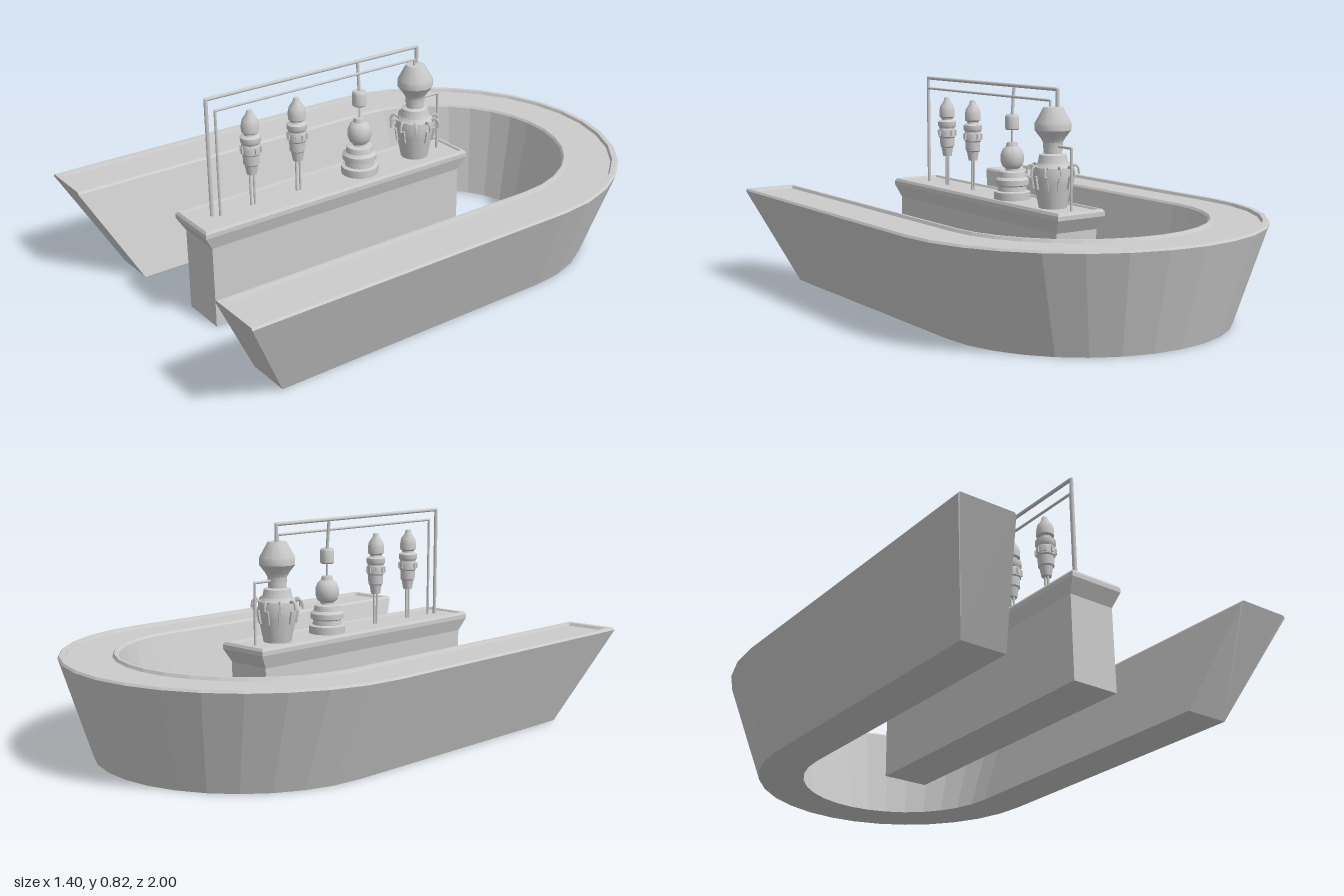
import * as THREE from 'three';
import { toCreasedNormals } from 'three/addons/utils/BufferGeometryUtils.js';

const flat = new THREE.MeshStandardMaterial({ color: 0xcccccc, flatShading: true });
const smooth = new THREE.MeshStandardMaterial({ color: 0xcccccc });
const V = (x, y, z) => new THREE.Vector3(x, y, z);

function mesh(name, geometry, material = smooth) {
  const m = new THREE.Mesh(geometry, material);
  m.name = name;
  return m;
}

// Joins rings of equal point count into a closed, capped solid
function loft(rings) {
  const n = rings[0].length, last = (rings.length - 1) * n, index = [];
  for (let i = 0; i < rings.length - 1; i++)
    for (let j = 0; j < n; j++) {
      const a = i * n + j, b = i * n + (j + 1) % n;
      index.push(a, a + n, b, b, a + n, b + n);
    }
  for (let j = 1; j < n - 1; j++) {
    index.push(0, j, j + 1);
    index.push(last, last + j + 1, last + j);
  }
  const g = new THREE.BufferGeometry().setFromPoints(rings.flat());
  g.setIndex(index);
  g.computeVertexNormals();
  return g;
}

const lathe = (name, pts, segments = 20) => mesh(name, toCreasedNormals(
  new THREE.LatheGeometry(pts.map(p => new THREE.Vector2(...p)), segments), 0.6));

// Pipe with sharp elbows
function pipe(name, r, points) {
  const path = new THREE.CurvePath();
  for (let i = 0; i < points.length - 1; i++) path.add(new THREE.LineCurve3(points[i], points[i + 1]));
  const g = new THREE.Group();
  g.name = name;
  path.curves.forEach(c => g.add(mesh('pipeRun', new THREE.TubeGeometry(c, 1, r, 8))));
  points.forEach(p => {
    const joint = mesh('pipeJoint', new THREE.SphereGeometry(r, 8, 6));
    joint.position.copy(p);
    g.add(joint);
  });
  return g;
}

// U-shaped counter: sloping walls, raised rim and sunken top
function counter() {
  const H = 0.36, RIM = 0.368, SUNK = 0.357;
  const section = [[0.555, 0], [0.7, H], [0.694, RIM], [0.676, RIM], [0.67, SUNK],
    [0.508, SUNK], [0.502, RIM], [0.492, RIM], [0.485, H], [0.385, 0]];
  const k = y => Math.min(1, y / H);
  const raise = y => (y === SUNK ? RIM : y);
  const leg = (side, inset, raised) => section.map(([r, y]) => {
    const h = raised ? raise(y) : y;
    return V(side * r, h, 0.81 + 0.19 * k(h) - inset);
  });
  const rings = [leg(1, 0, true), leg(1, 0.024, true), leg(1, 0.03, false)];
  const N = 16;
  for (let i = 0; i <= N; i++) {
    const a = Math.PI * i / N;
    rings.push(section.map(([r, y]) =>
      V(r * Math.cos(a), y, -0.335 + 0.035 * k(y) - r * Math.sin(a))));
  }
  rings.push(leg(-1, 0.03, false), leg(-1, 0.024, true), leg(-1, 0, true));
  return mesh('counter', loft(rings), flat);
}

// Central island with flared, rimmed top
function island() {
  const levels = [[0.09, 0.78, -0.325, 0], [0.09, 0.78, -0.325, 0.31], [0.105, 0.81, -0.355, 0.36],
    [0.105, 0.81, -0.355, 0.376], [0.099, 0.804, -0.349, 0.386], [0.09, 0.795, -0.34, 0.386],
    [0.086, 0.791, -0.336, 0.379]];
  return mesh('island', loft(levels.map(([x, f, b, y]) =>
    [V(-x, y, b), V(x, y, b), V(x, y, f), V(-x, y, f)])), flat);
}

// Large boiler with a ring of hooked spouts
function boiler() {
  const g = new THREE.Group();
  g.name = 'boiler';
  g.add(lathe('boilerBody', [[0, 0.378], [0.052, 0.378], [0.056, 0.4], [0.07, 0.47], [0.074, 0.5],
    [0.07, 0.53], [0.056, 0.545], [0.05, 0.575], [0.034, 0.58], [0.034, 0.6], [0.026, 0.605], [0, 0.605]]));
  g.add(lathe('boilerHead', [[0, 0.6], [0.037, 0.6], [0.037, 0.62], [0.045, 0.635], [0.068, 0.665],
    [0.068, 0.69], [0.04, 0.74], [0.036, 0.748], [0, 0.75]], 12));
  for (let i = 0; i < 10; i++) {
    const spout = new THREE.Group();
    spout.name = 'spout';
    const curve = new THREE.CatmullRomCurve3([V(0.062, 0.525, 0), V(0.08, 0.537, 0),
      V(0.092, 0.528, 0), V(0.096, 0.503, 0)]);
    spout.add(mesh('spoutTube', new THREE.TubeGeometry(curve, 8, 0.005, 6)));
    const bracket = mesh('bracket', new THREE.BoxGeometry(0.012, 0.05, 0.01));
    bracket.position.set(0.071, 0.475, 0);
    bracket.rotation.z = -0.15;
    spout.add(bracket);
    spout.rotation.y = i * Math.PI / 5;
    g.add(spout);
  }
  g.position.z = -0.18;
  return g;
}

// Stepped still with a round vessel and a hanging drip chamber
function still() {
  const g = new THREE.Group();
  g.name = 'still';
  g.add(lathe('stillBase', [[0, 0.378], [0.07, 0.378], [0.07, 0.408], [0.056, 0.412], [0.054, 0.43],
    [0.064, 0.435], [0.064, 0.455], [0.052, 0.465], [0.048, 0.485], [0.028, 0.49], [0, 0.49]]));
  g.add(lathe('stillVessel', [[0.026, 0.485], [0.026, 0.497], [0.038, 0.506], [0.045, 0.525],
    [0.045, 0.55], [0.036, 0.572], [0.024, 0.582], [0.02, 0.597], [0, 0.599]]));
  g.add(lathe('dripChamber', [[0, 0.645], [0.023, 0.645], [0.027, 0.65], [0.027, 0.695], [0.022, 0.703], [0, 0.703]]));
  g.add(pipe('dripPipe', 0.004, [V(0, 0.59, 0), V(0, 0.65, 0)]));
  g.add(pipe('feedPipe', 0.006, [V(0, 0.7, 0), V(-0.01, 0.815, 0)]));
  g.position.z = 0.083;
  return g;
}

// Dispenser on two thin legs
function dispenser(z) {
  const g = new THREE.Group();
  g.name = 'dispenser';
  for (const s of [-1, 1]) g.add(pipe('dispenserLeg', 0.004, [V(0, 0.378, s * 0.008), V(0, 0.52, s * 0.008)]));
  g.add(lathe('dispenserBody', [[0, 0.5], [0.018, 0.5], [0.024, 0.535], [0.029, 0.54], [0.03, 0.575],
    [0.034, 0.58], [0.034, 0.61], [0.031, 0.615], [0.037, 0.625], [0.037, 0.642], [0.024, 0.65],
    [0.024, 0.656], [0.032, 0.662], [0.032, 0.685], [0.028, 0.705], [0.014, 0.725], [0.01, 0.74], [0, 0.742]], 16));
  for (let i = 0; i < 8; i++) {
    const a = i * Math.PI / 4;
    const stud = mesh('stud', new THREE.BoxGeometry(0.01, 0.022, 0.008));
    stud.position.set(0.034 * Math.cos(a), 0.596, 0.034 * Math.sin(a));
    stud.rotation.y = -a;
    g.add(stud);
  }
  g.position.z = z;
  return g;
}

export function createModel() {
  const model = new THREE.Group();
  model.name = 'barCounter';
  model.add(counter(), island(), boiler(), still(), dispenser(0.36), dispenser(0.555));

  // Overhead pipework
  model.add(pipe('upperPipe', 0.007, [V(-0.01, 0.378, 0.718), V(-0.01, 0.813, 0.718),
    V(-0.01, 0.813, -0.193), V(-0.01, 0.74, -0.193)]));
  model.add(pipe('lowerPipe', 0.005, [V(0.006, 0.378, 0.693), V(0.006, 0.772, 0.693),
    V(0.006, 0.772, -0.17), V(0.006, 0.74, -0.17)]));
  model.add(pipe('drainPipe', 0.005, [V(0, 0.607, -0.2), V(0, 0.607, -0.292), V(0, 0.378, -0.292)]));
  return model;
}
